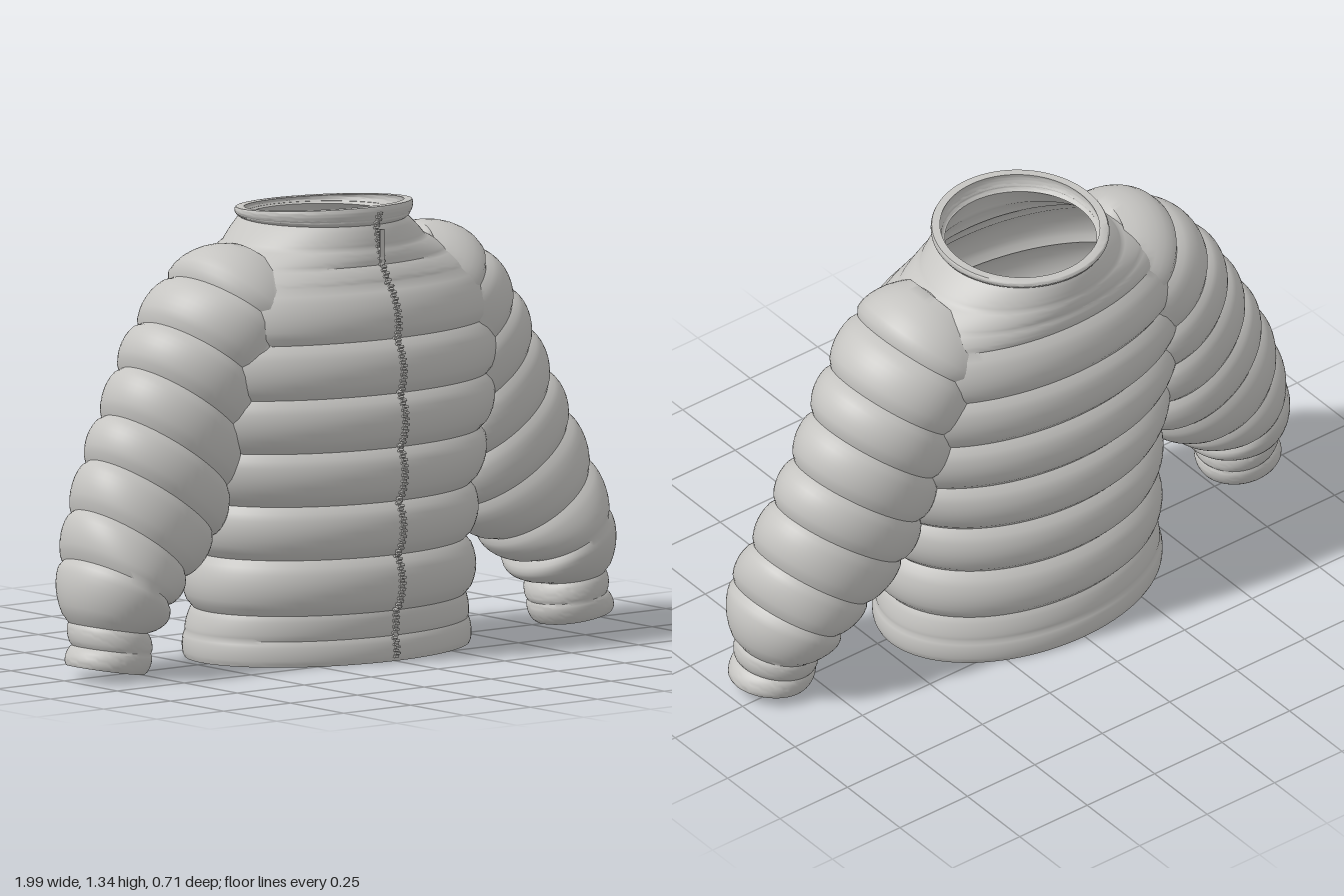
import * as THREE from 'three';
import { mergeGeometries, toCreasedNormals } from 'three/addons/utils/BufferGeometryUtils.js';

// Torso seams: height, half width, front z, back z, puff of the band above
const TORSO = [
  [0.0, 0.468, 0.3, -0.345, 0.008],
  [0.075, 0.466, 0.293, -0.342, 0.006],
  [0.15, 0.448, 0.297, -0.325, 0.032],
  [0.315, 0.444, 0.302, -0.322, 0.032],
  [0.475, 0.46, 0.308, -0.322, 0.032],
  [0.635, 0.5, 0.315, -0.322, 0.032],
  [0.795, 0.53, 0.315, -0.322, 0.03],
  [0.955, 0.535, 0.3, -0.322, 0.028],
  [1.115, 0.485, 0.262, -0.302, 0.005],
  [1.165, 0.41, 0.234, -0.3, 0.004],
  [1.215, 0.318, 0.222, -0.297, 0.003],
  [1.28, 0.245, 0.207, -0.287, 0.003],
  [1.295, 0.256, 0.215, -0.293, 0.005],
  [1.335, 0.26, 0.219, -0.29, 0],
];

// Sleeve seams: outer x, y, inner x, y, front z, back z, puff of the band below
const SLEEVE = [
  [0.29, 1.21, 0.15, 1.0, 0.11, -0.16, 0.062],
  [0.515, 1.145, 0.24, 0.92, 0.19, -0.235, 0.034],
  [0.63, 1.02, 0.32, 0.78, 0.175, -0.236, 0.032],
  [0.708, 0.895, 0.37, 0.64, 0.162, -0.228, 0.03],
  [0.78, 0.76, 0.42, 0.5, 0.159, -0.219, 0.03],
  [0.848, 0.635, 0.48, 0.375, 0.162, -0.208, 0.028],
  [0.91, 0.495, 0.6, 0.268, 0.175, -0.19, 0.026],
  [0.953, 0.355, 0.695, 0.198, 0.206, -0.17, 0.036],
  [0.962, 0.165, 0.748, 0.128, 0.155, -0.106, 0.01],
  [0.964, 0.1, 0.74, 0.068, 0.158, -0.087, 0.012],
  [0.991, 0.045, 0.76, 0.006, 0.15, -0.077, 0],
];

const STEPS = 8;
const mix = (a, b, t) => a.map((v, i) => v + (b[i] - v) * t);
const puffAt = (amount, t) => amount * Math.pow(Math.max(0, Math.sin(Math.PI * t)), 0.6);

// Surface through closed rows of points, outward when rows run upward
function loft(rows, closeEnds) {
  const n = rows[0].length, m = rows.length, index = [];
  for (let i = 0; i < (closeEnds ? m : m - 1); i++) {
    for (let j = 0; j < n; j++) {
      const k = (j + 1) % n, up = ((i + 1) % m) * n, lo = i * n;
      index.push(lo + j, lo + k, up + j, lo + k, up + k, up + j);
    }
  }
  const geo = new THREE.BufferGeometry().setFromPoints(rows.flat());
  geo.setIndex(index);
  return toCreasedNormals(geo, 0.75);
}

// Puffed rings between each pair of seams
function puffedRings(seams, makeRing) {
  const rows = [];
  for (let i = 0; i < seams.length - 1; i++) {
    for (let s = 0; s < STEPS; s++) {
      rows.push(makeRing(mix(seams[i], seams[i + 1], s / STEPS), puffAt(seams[i].at(-1), s / STEPS)));
    }
  }
  rows.push(makeRing(seams[seams.length - 1], 0));
  return rows;
}

function torsoRing([y, w, zf, zb], puff) {
  const ring = [], n = 96;
  const lift = THREE.MathUtils.clamp((y - 1.28) / 0.055, 0, 1);
  for (let j = 0; j < n; j++) {
    const a = (j / n) * Math.PI * 2;
    const drop = 0.035 * lift * (1 - Math.cos(a)) / 2; // collar dips at the back
    ring.push(new THREE.Vector3((w + puff) * Math.sin(a), y - drop,
      (zf + zb) / 2 + ((zf - zb) / 2 + puff) * Math.cos(a)));
  }
  return ring;
}

// Torso seam values and puff at any height
function torsoAt(y) {
  let i = 0;
  while (i < TORSO.length - 2 && y > TORSO[i + 1][0]) i++;
  const t = THREE.MathUtils.clamp((y - TORSO[i][0]) / (TORSO[i + 1][0] - TORSO[i][0]), 0, 1);
  return { p: mix(TORSO[i], TORSO[i + 1], t), puff: puffAt(TORSO[i][4], t) };
}

// Push hidden sleeve points out to sit within the torso wall
function keepInWall(v) {
  const { p: [, w, zf, zb], puff } = torsoAt(v.y);
  const inset = 0.011 - puff;
  const c = (zf + zb) / 2, rx = w - inset, rz = (zf - zb) / 2 - inset;
  const r = Math.hypot(v.x / rx, (v.z - c) / rz);
  if (r < 1) {
    v.x /= r;
    v.z = c + (v.z - c) / r;
  }
  return v;
}

// Sleeve ring, fuller across its width than its depth
function sleeveRing(side, [ox, oy, ix, iy, zf, zb], puff) {
  const ring = [], n = 64;
  const dx = ox - ix, dy = oy - iy, half = Math.hypot(dx, dy) / 2;
  const k = (half + puff) / (2 * half);
  for (let j = 0; j < n; j++) {
    const a = side * (j / n) * Math.PI * 2, c = Math.cos(a) * k;
    const v = keepInWall(new THREE.Vector3((ox + ix) / 2 + dx * c, (oy + iy) / 2 + dy * c,
      (zf + zb) / 2 + ((zf - zb) / 2 + puff * 0.6) * Math.sin(a)));
    v.x *= side;
    v.y = Math.max(v.y, 0.003);
    ring.push(v);
  }
  return ring;
}

export function createModel() {
  const model = new THREE.Group();
  model.name = 'pufferJacket';
  const fabric = new THREE.MeshStandardMaterial({ color: 0xc6c5c2, side: THREE.DoubleSide });
  fabric.name = 'greyFabric';
  const add = (name, geo) => {
    const mesh = new THREE.Mesh(geo, fabric);
    mesh.name = name;
    model.add(mesh);
    return mesh;
  };

  // Torso with collar, hem and a quilted lining in one shell
  const outer = puffedRings(TORSO, torsoRing);
  const lining = puffedRings(TORSO, (p, puff) => torsoRing(p, puff - 0.024)).reverse();
  add('torso', loft([...outer, ...lining], true));

  // Sleeves, with the cuff turned back inside
  for (const side of [1, -1]) {
    const ring = (p, puff) => sleeveRing(side, p, puff);
    const inside = SLEEVE.slice(-4).reverse().map((p) => ring(p, -0.018));
    add(side > 0 ? 'leftSleeve' : 'rightSleeve', loft([...puffedRings(SLEEVE, ring), ...inside], false));
  }

  // Zip: alternating teeth that follow the front of the torso
  const teeth = [], count = 150;
  const frontZ = (y) => { const { p, puff } = torsoAt(y); return p[2] + puff; };
  for (let i = 0; i < count; i++) {
    const y = 0.015 + (i / (count - 1)) * 1.3;
    const slope = Math.atan2(frontZ(y + 0.006) - frontZ(y - 0.006), 0.012);
    const tooth = new THREE.BoxGeometry(0.016, 0.0065, 0.014);
    tooth.rotateX(slope);
    tooth.translate(i % 2 ? 0.003 : -0.003, y, frontZ(y));
    teeth.push(tooth);
  }
  add('zipTeeth', mergeGeometries(teeth));

  // Zip pull hanging below the collar
  const pull = add('zipPull', new THREE.BoxGeometry(0.014, 0.11, 0.006));
  pull.position.set(0, 1.215, 0.236);

  return model;
}
